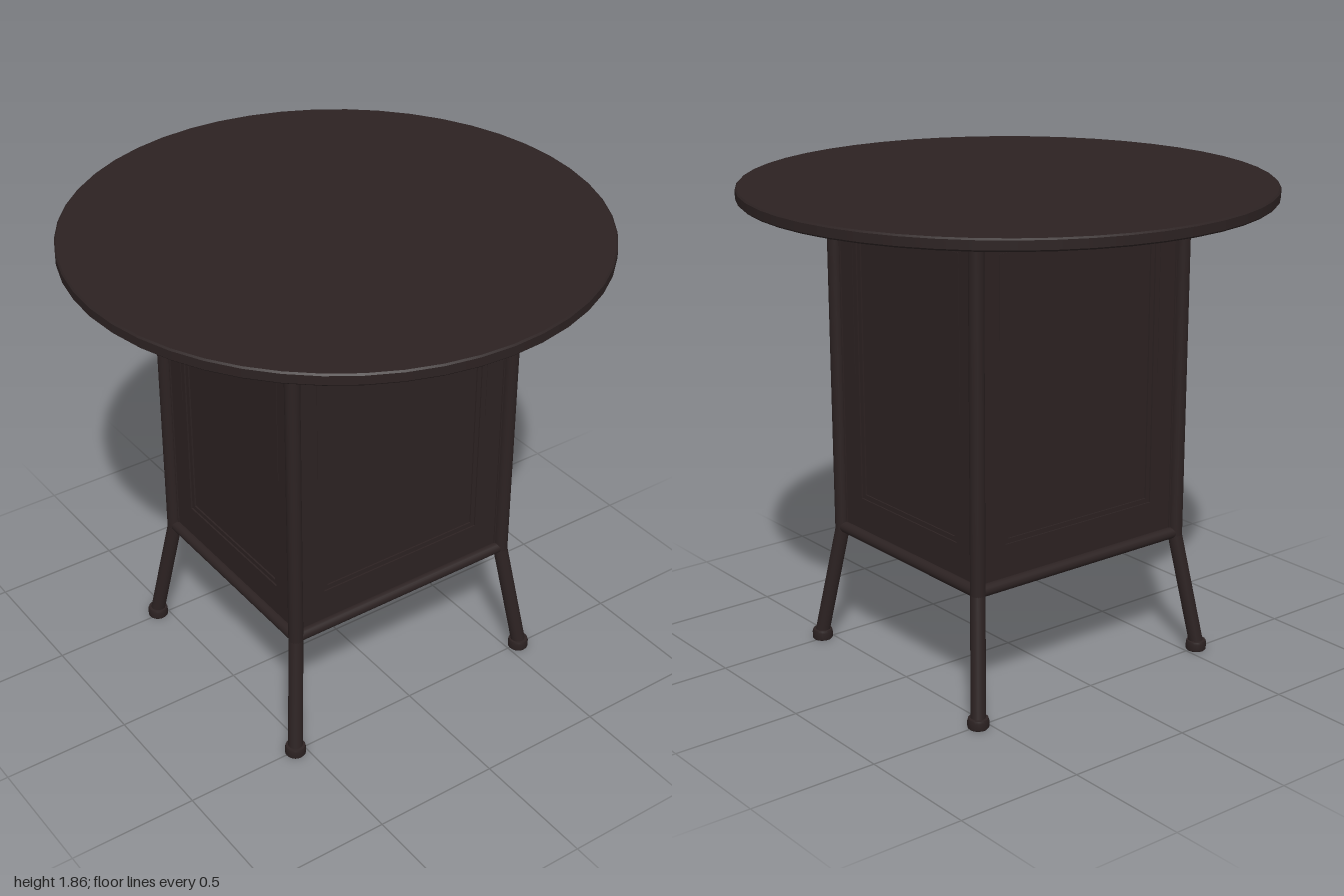
import * as THREE from 'three';
import { ConvexGeometry } from 'three/addons/geometries/ConvexGeometry.js';

const PX = 0.432, PZ = 0.486, R = 0.028; // post centres and radius
const TOP = 1.815, SILL = 0.488;

export function createModel() {
  const root = new THREE.Group();
  root.name = 'pedestalTable';
  const dark = new THREE.MeshStandardMaterial({ color: 0x2c2222 });
  dark.name = 'dark brown';

  const add = (name, geo, parent = root) => {
    const m = new THREE.Mesh(geo, dark);
    m.name = name;
    parent.add(m);
    return m;
  };
  const V = (x, y, z) => new THREE.Vector3(x, y, z);
  // Round bar between two points
  const bar = (name, a, b, r) => {
    const d = b.clone().sub(a);
    const m = add(name, new THREE.CylinderGeometry(r, r, d.length(), 20));
    m.position.copy(a).addScaledVector(d, 0.5);
    m.quaternion.setFromUnitVectors(V(0, 1, 0), d.normalize());
    return m;
  };

  // Round top with a slightly eased edge
  const top = [[0, 1.815], [0.994, 1.815], [0.994, 1.815], [1, 1.821], [1, 1.821], [1, 1.854], [1, 1.854], [0.994, 1.86], [0.994, 1.86], [0, 1.86]];
  add('tableTop', new THREE.LatheGeometry(top.map(p => new THREE.Vector2(...p)), 48));

  // Corner posts, splayed legs and feet
  const footProfile = [[0, 0], [0.036, 0], [0.036, 0], [0.04, 0.005], [0.04, 0.03], [0.037, 0.04], [0.037, 0.04], [0, 0.042]];
  const footGeo = new THREE.LatheGeometry(footProfile.map(p => new THREE.Vector2(...p)), 20);
  for (const sx of [-1, 1]) for (const sz of [-1, 1]) {
    const knee = V(sx * PX, 0.475, sz * PZ);
    bar('cornerPost', knee, V(sx * PX, TOP, sz * PZ), R);
    bar('leg', knee, V(sx * 0.507, 0.03, sz * 0.545), R);
    add('legBend', new THREE.SphereGeometry(R, 20, 12)).position.copy(knee);
    add('foot', footGeo).position.set(sx * 0.507, 0, sz * 0.545);
  }

  // Bottom rails and floor
  for (const s of [-1, 1]) {
    bar('bottomRail', V(-PX, SILL, s * PZ), V(PX, SILL, s * PZ), 0.023);
    bar('bottomRail', V(s * PX, SILL, -PZ), V(s * PX, SILL, PZ), 0.023);
  }
  add('floor', new THREE.BoxGeometry(2 * PX, 0.03, 2 * PZ)).position.y = 0.485;

  // Rectangular frame with a hole, front face at z = depth
  const rect = (Shape, w, y0, y1) => {
    const s = new Shape();
    s.moveTo(-w, y0); s.lineTo(w, y0); s.lineTo(w, y1); s.lineTo(-w, y1); s.closePath();
    return s;
  };
  const frame = (w, y0, y1, t, depth) => {
    const s = rect(THREE.Shape, w, y0, y1);
    s.holes.push(rect(THREE.Path, w - t, y0 + t, y1 - t));
    return new THREE.ExtrudeGeometry(s, { depth, bevelEnabled: false });
  };

  // Four panelled walls
  const wall = (half, dist, angle) => {
    const g = new THREE.Group();
    g.name = 'wall';
    add('panel', new THREE.BoxGeometry(2 * half, TOP - 0.49, 0.016), g).position.set(0, (TOP + 0.49) / 2, dist - 0.02);
    const inner = half - 0.132; // outer half width of the moulding
    const s = rect(THREE.Shape, half, 0.49, TOP);
    s.holes.push(rect(THREE.Path, inner, 0.637, 1.69));
    add('panelSurround', new THREE.ExtrudeGeometry(s, { depth: 0.012, bevelEnabled: false }), g).position.z = dist - 0.012;
    add('moulding', frame(inner, 0.637, 1.69, 0.018, 0.006), g).position.z = dist - 0.012;
    // Thin bead around the upper part
    const bead = inner + 0.025;
    for (const k of [-1, 1])
      add('sideBead', new THREE.BoxGeometry(0.006, 0.58, 0.004), g).position.set(k * bead, 1.42, dist);
    add('topBead', new THREE.BoxGeometry(2 * bead, 0.006, 0.004), g).position.set(0, 1.71, dist);
    g.rotation.y = angle;
    root.add(g);
  };
  for (const k of [0, 1]) {
    wall(PX, PZ - 0.005, k * Math.PI);
    wall(PZ, PX - 0.005, Math.PI / 2 + k * Math.PI);
  }

  // Support rails under the top, with clipped outer corners and eased undersides
  const ring = (s, y, e) => [[0.49 + e, 0.565 - e], [0.53, 0.565 - e], [0.62 - e, 0.475 - e * 0.4]]
    .flatMap(([x, z]) => [V(s * x, y, z), V(s * x, y, -z)]);
  for (const s of [-1, 1]) {
    add('supportRail', new ConvexGeometry([...ring(s, TOP, 0), ...ring(s, 1.787, 0), ...ring(s, 1.768, 0.015)]));
    add('mountingStrip', new THREE.BoxGeometry(0.04, 0.013, 1.17)).position.set(s * 0.45, 1.809, 0);
  }
  return root;
}
